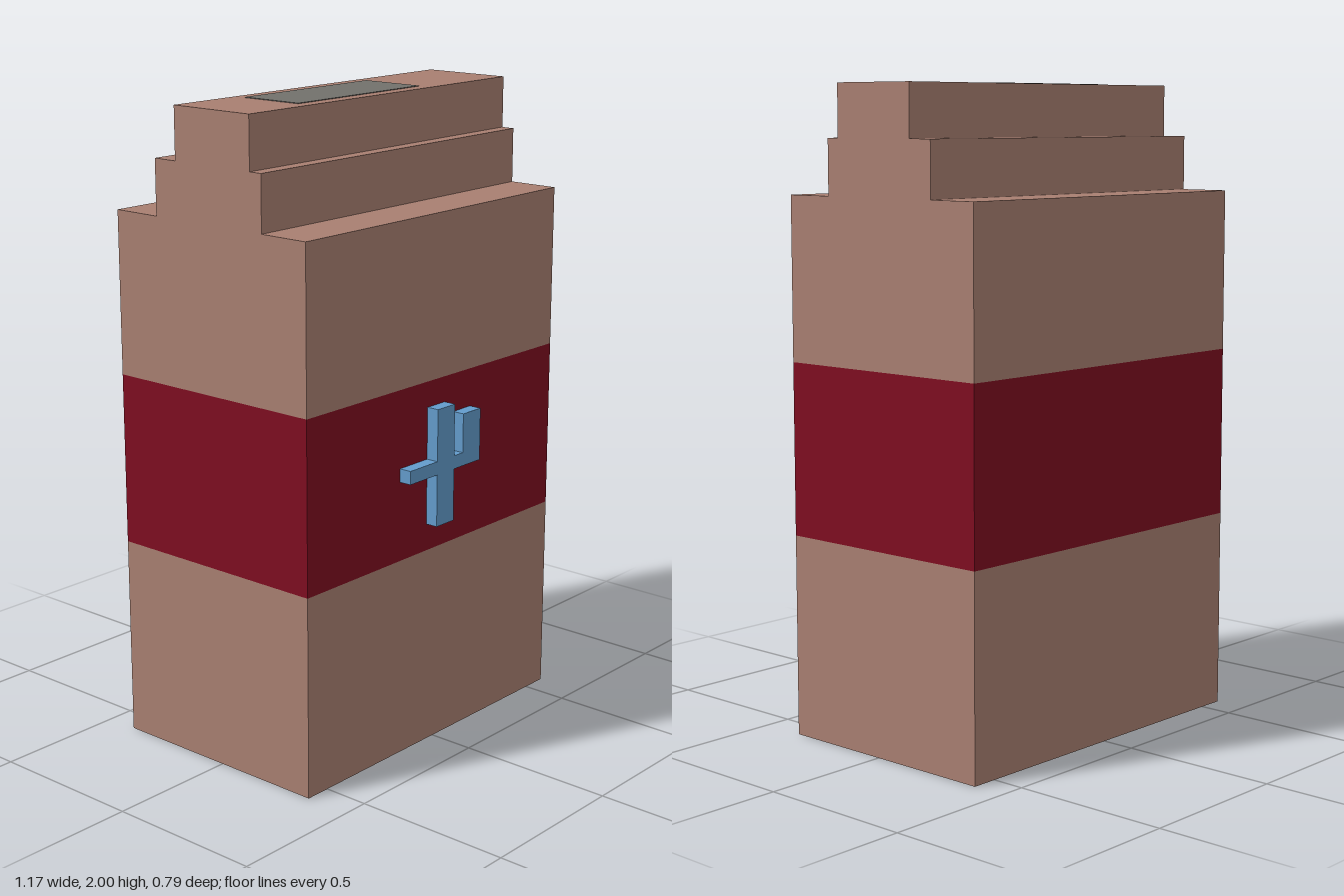
import * as THREE from 'three';

const mat = (name, color) => {
  const m = new THREE.MeshStandardMaterial({ color });
  m.name = name;
  return m;
};

const HALF_WIDTH = 0.583, FRONT = 0.355, BACK = -0.395;

const toShape = (points) => new THREE.Shape(points.map(([x, y]) => new THREE.Vector2(x, y)));

// Extrudes a side profile of [z, y] points across the full width
function sideProfile(points) {
  const geo = new THREE.ExtrudeGeometry(toShape(points), { depth: HALF_WIDTH * 2, bevelEnabled: false });
  return geo.rotateY(-Math.PI / 2).translate(HALF_WIDTH, 0, 0);
}

const block = (y0, y1) => sideProfile([[BACK, y0], [FRONT, y0], [FRONT, y1], [BACK, y1]]);

export function createModel() {
  const model = new THREE.Group();
  model.name = 'carton';
  const brown = mat('cardboard brown', 0xa87f71);
  const red = mat('band red', 0x7e0d20);
  const blue = mat('emblem blue', 0x639bcb);
  const grey = mat('panel grey', 0x72716c);

  const add = (name, geometry, material) => {
    const mesh = new THREE.Mesh(geometry, material);
    mesh.name = name;
    model.add(mesh);
    return mesh;
  };

  // Main body in three layers
  add('lowerBody', block(0, 0.63), brown);
  add('band', block(0.63, 1.165), red);

  // Upper body with its stepped top
  add('upperBody', sideProfile([
    [BACK, 1.165], [FRONT, 1.165], [FRONT, 1.67],
    [0.19, 1.67], [0.19, 1.84], [0.147, 1.84], [0.147, 2],
    [-0.147, 2], [-0.147, 1.84], [-0.23, 1.84], [-0.23, 1.67], [BACK, 1.67],
  ]), brown);

  // Thin panel on the top
  add('topPanel', new THREE.BoxGeometry(0.545, 0.004, 0.21), grey).position.set(-0.0625, 2, 0);

  // Raised cactus-shaped emblem on the front
  const emblem = toShape([
    [-0.042, 0.715], [0.04, 0.715], [0.04, 0.88], [0.167, 0.88], [0.167, 1.045],
    [0.082, 1.045], [0.082, 0.922], [0.04, 0.922], [0.04, 1.085], [-0.042, 1.085],
    [-0.042, 0.922], [-0.17, 0.922], [-0.17, 0.88], [-0.042, 0.88],
  ]);
  add('frontEmblem', new THREE.ExtrudeGeometry(emblem, { depth: 0.04, bevelEnabled: false }), blue)
    .position.z = FRONT;

  return model;
}
